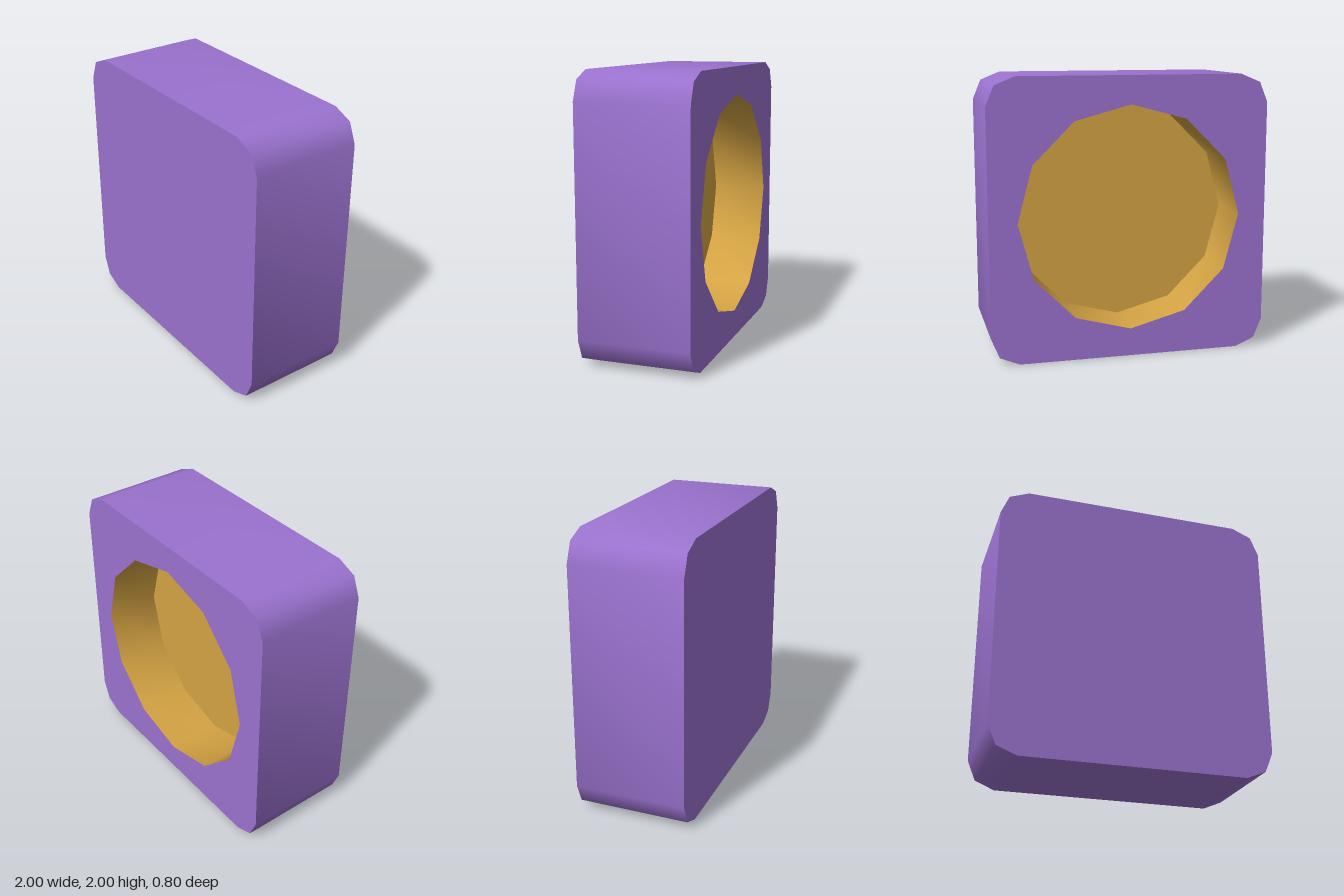
import * as THREE from 'three';
import { toCreasedNormals } from 'three/addons/utils/BufferGeometryUtils.js';

const HALF = 1, CORNER = 0.2, DEPTH = 0.8, HOLE_RADIUS = 0.8, FLOOR_Z = 0;

// Counter-clockwise points on an arc
function arc(cx, cy, radius, start, sweep, segments) {
  return Array.from({ length: segments + 1 }, (_, i) => {
    const a = start + (sweep * i) / segments;
    return new THREE.Vector2(cx + radius * Math.cos(a), cy + radius * Math.sin(a));
  });
}

// Open wall following a closed outline from z0 to z1, smooth around its bends
function wall(points, z0, z1) {
  const positions = [];
  points.forEach((p, i) => {
    const q = points[(i + 1) % points.length];
    positions.push(p.x, p.y, z0, q.x, q.y, z0, q.x, q.y, z1);
    positions.push(p.x, p.y, z0, q.x, q.y, z1, p.x, p.y, z1);
  });
  const geometry = new THREE.BufferGeometry();
  geometry.setAttribute('position', new THREE.Float32BufferAttribute(positions, 3));
  return toCreasedNormals(geometry, 1);
}

export function createModel() {
  const purple = new THREE.MeshStandardMaterial({ color: 0x9b72cf });
  purple.name = 'purple';
  const gold = new THREE.MeshStandardMaterial({ color: 0xd4a343 });
  gold.name = 'gold';

  const model = new THREE.Group();
  model.name = 'recessedBlock';
  const add = (parent, name, geometry, material) => {
    const mesh = new THREE.Mesh(geometry, material);
    mesh.name = name;
    parent.add(mesh);
  };

  // Square outline with two-segment rounded corners
  const c = HALF - CORNER;
  const outline = [[c, c], [-c, c], [-c, -c], [c, -c]].flatMap(([x, y], i) =>
    arc(x, y, CORNER, (i * Math.PI) / 2, Math.PI / 2, 2));
  // Twelve-sided opening
  const opening = arc(0, 0, HOLE_RADIUS, 0, Math.PI * 2, 12).slice(0, 12);

  // Purple block, open at the back
  const block = new THREE.Group();
  block.name = 'block';
  add(block, 'frontFace', new THREE.ShapeGeometry(new THREE.Shape(outline)).translate(0, 0, DEPTH / 2), purple);
  const backShape = new THREE.Shape(outline);
  backShape.holes.push(new THREE.Path(opening));
  add(block, 'backFace', new THREE.ShapeGeometry(backShape).rotateY(Math.PI).translate(0, 0, -DEPTH / 2), purple);
  add(block, 'sideWall', wall(outline, -DEPTH / 2, DEPTH / 2), purple);

  // Gold recess in the back
  const recess = new THREE.Group();
  recess.name = 'recess';
  add(recess, 'recessWall', wall([...opening].reverse(), -DEPTH / 2, FLOOR_Z), gold);
  add(recess, 'recessFloor', new THREE.CircleGeometry(HOLE_RADIUS, 12).rotateY(Math.PI).translate(0, 0, FLOOR_Z), gold);

  model.add(block, recess);
  model.children.forEach((part) => { part.position.y = HALF; });
  return model;
}
